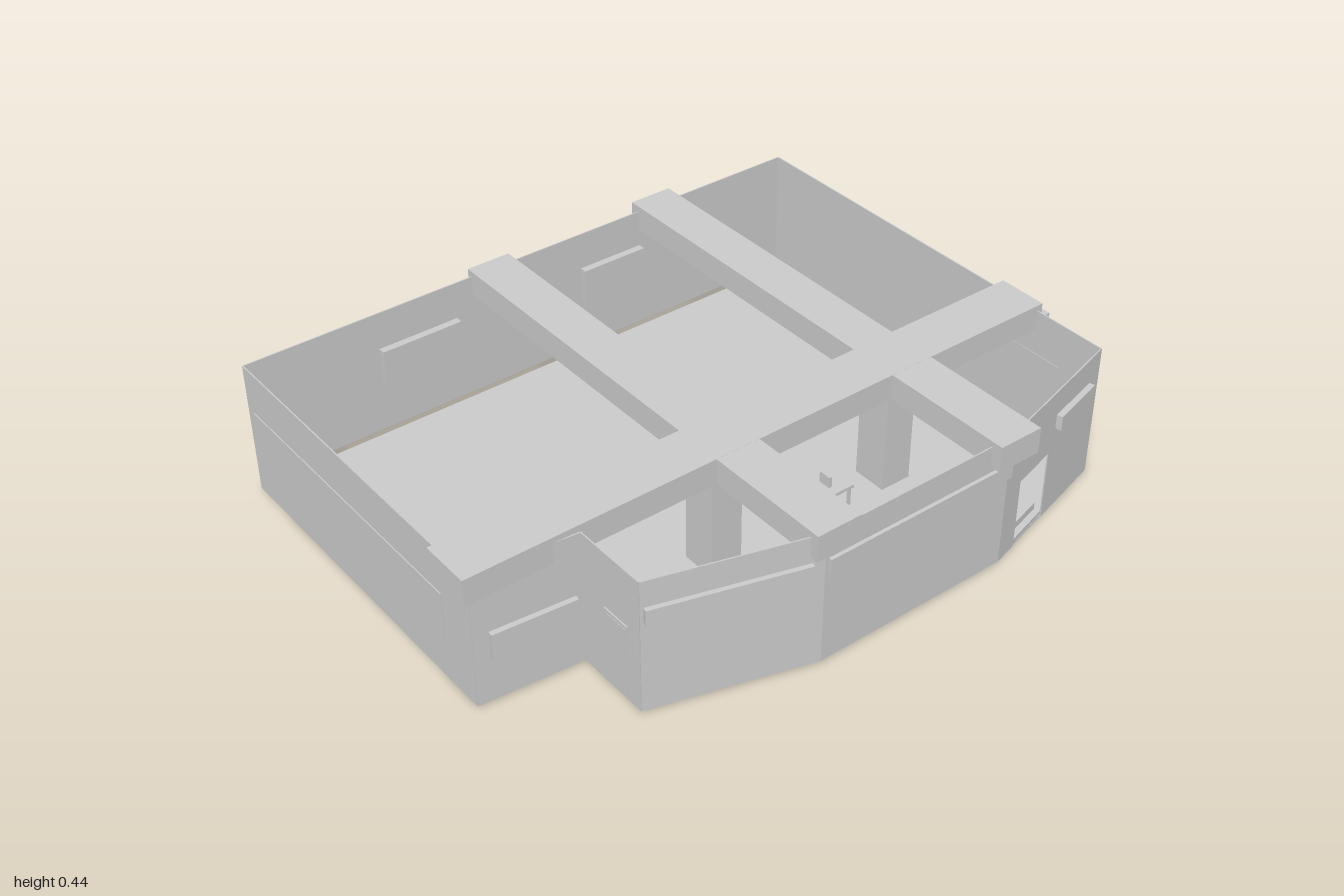
import * as THREE from 'three';

export function createModel() {
  const model = new THREE.Group();
  const mat = new THREE.MeshStandardMaterial({ color: 0xcccccc, flatShading: true, side: THREE.DoubleSide });

  const add = (name, geometry) => {
    const mesh = new THREE.Mesh(geometry, mat);
    mesh.name = name;
    model.add(mesh);
    return mesh;
  };
  // Box given by its limits on each axis
  const box = (name, x0, x1, y0, y1, z0, z1) => {
    const mesh = add(name, new THREE.BoxGeometry(x1 - x0, y1 - y0, z1 - z0));
    mesh.position.set((x0 + x1) / 2, (y0 + y1) / 2, (z0 + z1) / 2);
    return mesh;
  };
  // Upright panel between two plan points, pushed outward by its offset
  const panel = (name, [xa, za], [xb, zb], y0, y1, thick = 0.004, offset = 0) => {
    const dx = xb - xa, dz = zb - za, len = Math.hypot(dx, dz);
    const mesh = add(name, new THREE.BoxGeometry(len, y1 - y0, thick));
    mesh.position.set((xa + xb) / 2 + dz / len * offset, (y0 + y1) / 2, (za + zb) / 2 - dx / len * offset);
    mesh.rotation.y = Math.atan2(-dz, dx);
    return mesh;
  };
  const between = (a, b, t) => [a[0] + (b[0] - a[0]) * t, a[1] + (b[1] - a[1]) * t];
  const plate = (name, points, y, thick) => {
    const shape = new THREE.Shape(points.map(([x, z]) => new THREE.Vector2(x, -z)));
    const geometry = new THREE.ExtrudeGeometry(shape, { depth: thick, bevelEnabled: false });
    geometry.rotateX(-Math.PI / 2);
    add(name, geometry).position.y = y;
  };

  // Plan corners, clockwise from the back corner
  const A = [-0.743, -0.913], B = [0.63, -0.913], C = [0.765, -0.43], D = [0.765, 0.2],
    E = [0.63, 0.665], F = [0.395, 0.665], G = [0.367, 0.973], H = [-0.743, 0.973];
  const top = 0.427, low = 0.01;

  // Floor: thin base and a raised deck set in from two walls
  plate('baseSlab', [A, B, C, D, E, F, G, H], low, 0.006);
  plate('floorDeck', [[-0.715, -0.9], [0.63, -0.9], C, D, E, F, G, [-0.715, 0.973]], 0.016, 0.012);

  // Plain outer walls
  panel('backWall', A, B, 0.035, top);
  panel('leftBayWall', C, D, low, top);
  panel('leftFrontWall', D, E, low, top);
  panel('recessWall', E, F, low, top);
  panel('recessReturnWall', F, G, low, top);
  panel('frontWall', G, H, low, top);
  panel('rightWall', H, A, 0.035, top);

  // Angled wall with its open doorway
  const d0 = between(B, C, 0.526), d1 = between(B, C, 0.835);
  panel('doorwayWallBack', B, d0, low, top);
  panel('doorwayWallFront', d1, C, low, top);
  panel('doorwayLintel', d0, d1, 0.23, top);
  panel('doorSill', d0, d1, low, 0.05, 0.02, -0.03);

  // Ceiling beams: one lengthwise, two crossing it
  box('longBeam', 0.235, 0.39, 0.365, 0.445, -0.93, 1.0);
  box('backCrossBeam', -0.775, 0.8, 0.365, 0.4445, -0.5, -0.36);
  box('frontCrossBeam', -0.76, 0.78, 0.365, 0.4445, 0.1, 0.24);

  // Columns beneath the crossings and outside the back wall
  for (const z of [-0.43, 0.18]) box('column', 0.25, 0.36, 0, 0.37, z - 0.05, z + 0.05);
  box('backPier', 0.25, 0.36, 0.05, 0.37, -1.0, -0.91);

  // Shallow piers along the right wall
  for (const [z0, z1] of [[-0.71, -0.47], [-0.08, 0.19], [0.68, 0.92]])
    box('sidePier', -0.805, -0.743, 0.1, 0.35, z0, z1);
  // Windows between the piers
  for (const [z0, z1] of [[-0.36, -0.14], [0.3, 0.56]])
    box('sideWindow', -0.748, -0.718, 0.2, 0.31, z0, z1);

  // High strip windows around the angled side
  panel('stripWindow', between(B, C, 0.11), between(B, C, 0.48), 0.3, 0.345, 0.03, 0.005);
  panel('stripWindow', [0.765, -0.435], [0.765, 0.19], 0.3, 0.345, 0.026, 0);
  panel('stripWindow', between(D, E, 0.07), between(D, E, 0.98), 0.3, 0.345, 0.026, 0.003);

  // Window in the recess return
  panel('recessWindow', between(F, G, 0.07), between(F, G, 0.86), 0.15, 0.235, 0.03, 0.003);

  // Three-part front window
  for (const [x0, x1] of [[-0.71, -0.585], [-0.585, 0.12], [0.12, 0.24]])
    box('frontWindow', x0, x1, 0.14, 0.29, 0.97, 0.978);

  // Closed doors
  box('recessDoor', 0.5, 0.575, 0.015, 0.24, 0.66, 0.669);
  box('recessDoorHead', 0.49, 0.585, 0.245, 0.255, 0.66, 0.671);
  box('backDoor', 0.1, 0.49, 0.035, 0.29, -0.918, -0.909);

  // Open board standing inside near the front
  panel('standingBoard', [0.175, 0.825], [0.29, 0.69], 0.028, 0.23, 0.035);

  // Small table with a screen between the columns
  box('tableTop', 0.26, 0.36, 0.09, 0.1, -0.27, -0.15);
  for (const x of [0.265, 0.347]) for (const z of [-0.265, -0.163])
    box('tableLeg', x, x + 0.008, 0.028, 0.09, z, z + 0.008);
  box('screen', 0.29, 0.33, 0.1, 0.135, -0.215, -0.205);

  return model;
}
